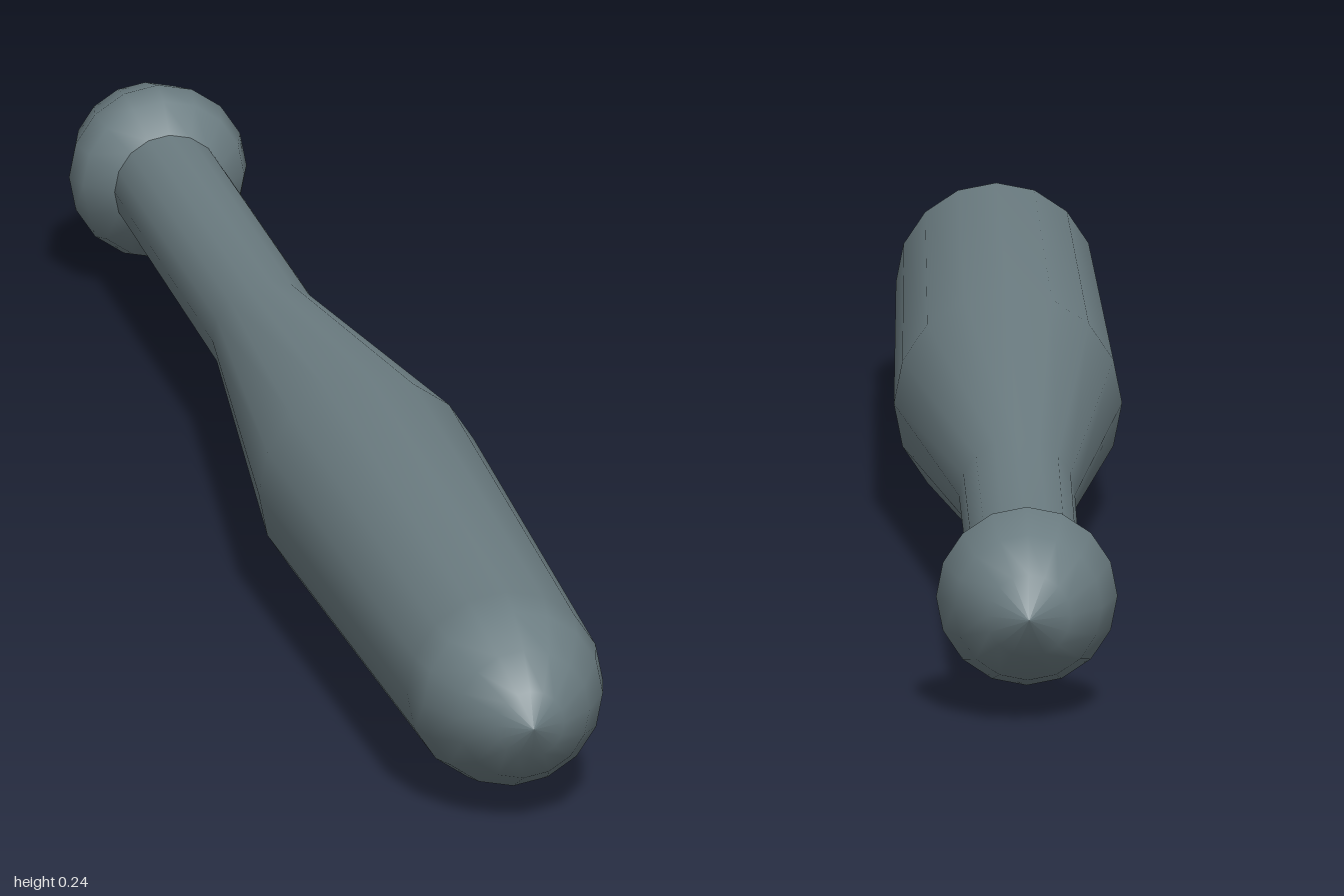
import * as THREE from 'three';

export function createModel() {
  const club = new THREE.Group();
  club.name = 'club';
  const wood = new THREE.MeshStandardMaterial({ color: 0x6c7d82 });

  // Turned part from [radius, position along the axis] pairs
  function turned(name, profile) {
    const points = profile.map(([r, t]) => new THREE.Vector2(r, t));
    const mesh = new THREE.Mesh(new THREE.LatheGeometry(points, 16), wood);
    mesh.name = name;
    mesh.rotation.x = Math.PI / 2;
    club.add(mesh);
  }

  // Rounded pommel with a tapered underside
  turned('pommel', [
    [0, -1.034], [0.045, -1.008], [0.079, -0.96], [0.097, -0.895],
    [0.088, -0.865], [0.06, -0.835],
  ]);

  // Slim grip flaring into the heavy, blunt-ended head
  turned('gripAndHead', [
    [0.06, -0.84], [0.062, -0.325], [0.122, 0.195], [0.107, 0.885],
    [0.098, 0.927], [0.072, 0.98], [0.037, 1.016], [0, 1.034],
  ]);

  // Lying on its widest ring, turned slightly towards its left
  club.rotation.y = THREE.MathUtils.degToRad(14.8);
  club.position.y = 0.124;

  const model = new THREE.Group();
  model.name = 'woodenClub';
  model.add(club);
  return model;
}
